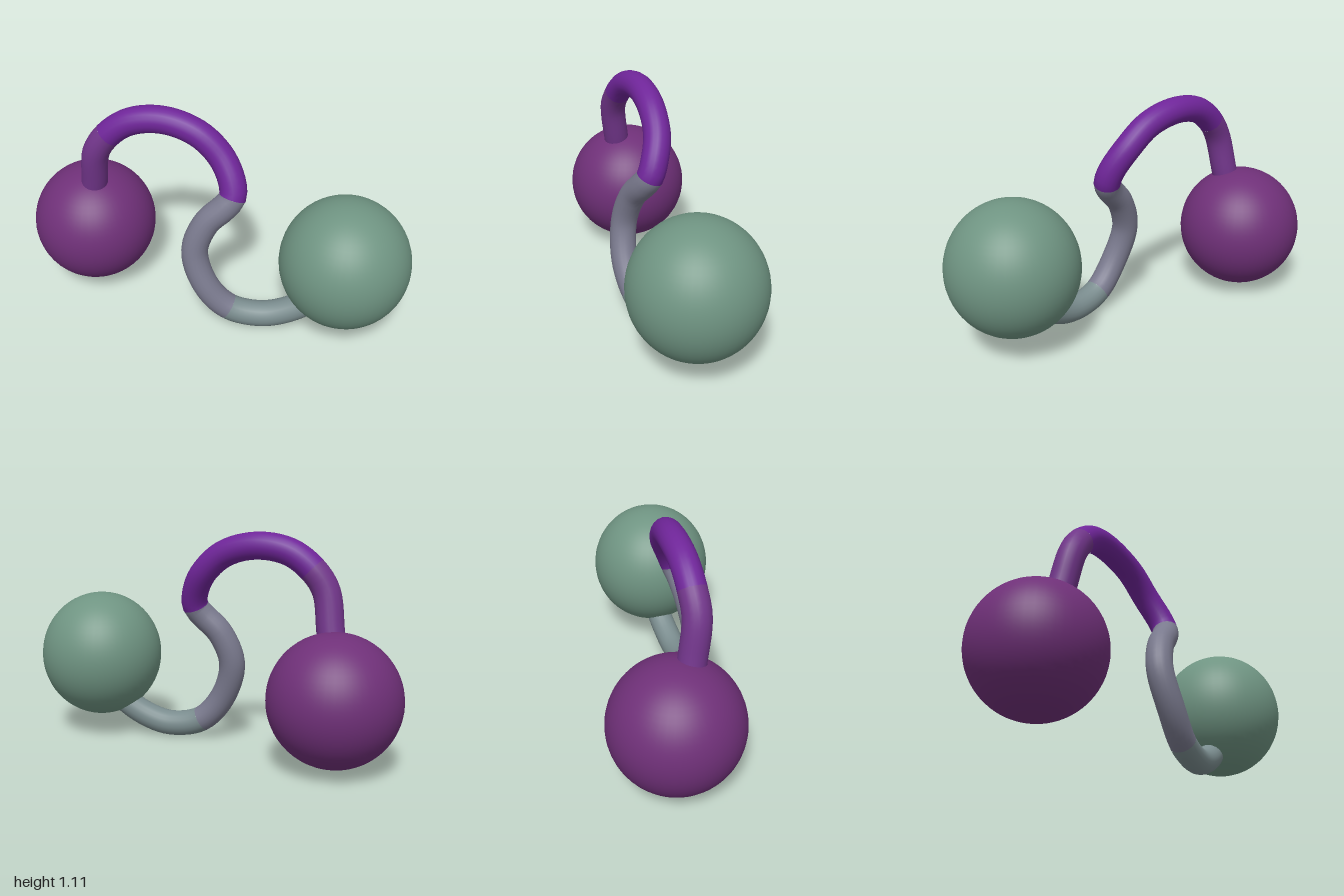
import * as THREE from 'three';

const TUBE_RADIUS = 0.067;

// Centre line of the cord, from the left-hand ball to the right-hand ball.
const POINTS = [
  [-0.65, 0.5, 0.05], [-0.62, 0.67, 0.075], [-0.585, 0.85, 0.095], [-0.52, 0.95, 0.08],
  [-0.41, 1.03, 0.055], [-0.25, 1.055, 0.025], [-0.08, 1.01, 0.01], [0.04, 0.91, 0.012],
  [0.11, 0.80, 0.045], [0.122, 0.73, 0.07], [0.09, 0.68, 0.095], [0.01, 0.59, 0.13],
  [-0.04, 0.43, 0.165], [0.025, 0.24, 0.18], [0.14, 0.11, 0.155], [0.3, 0.075, 0.11],
  [0.43, 0.11, 0.07], [0.55, 0.19, 0.03], [0.62, 0.28, 0.01],
].map((p) => new THREE.Vector3(...p));

const path = new THREE.CatmullRomCurve3(POINTS);

// A stretch of the path between two of its control points.
class PathSection extends THREE.Curve {
  constructor(from, to) {
    super();
    this.from = from;
    this.to = to;
  }
  getPoint(t, target = new THREE.Vector3()) {
    const i = this.from + (this.to - this.from) * t;
    return path.getPoint(i / (POINTS.length - 1), target);
  }
}

function addPart(group, name, geometry, color) {
  const mesh = new THREE.Mesh(geometry, new THREE.MeshStandardMaterial({ color }));
  mesh.name = name;
  group.add(mesh);
  return mesh;
}

export function createModel() {
  const group = new THREE.Group();
  group.name = 'linkedBalls';

  // Balls at both ends
  const ball = new THREE.SphereGeometry(0.32, 48, 32);
  addPart(group, 'purpleBall', ball, 0x6f3078).position.set(-0.68, 0.355, 0);
  const greenBall = addPart(group, 'greenBall', ball, 0x6f9482);
  greenBall.position.set(0.68, 0.442, 0);
  greenBall.scale.y = 1.035;

  // Curved cord, in coloured sections that share their end rings
  const sections = [
    ['purpleCordEnd', 0, 3, 0x71358a],
    ['purpleCordArch', 3, 9, 0x6f2599],
    ['greyCordBend', 9, 14, 0x7a7a8e],
    ['greyCordEnd', 14, 18, 0x7a8c8e],
  ];
  for (const [name, from, to, color] of sections) {
    const section = new PathSection(from, to);
    addPart(group, name, new THREE.TubeGeometry(section, (to - from) * 5, TUBE_RADIUS, 20), color);
  }

  return group;
}
